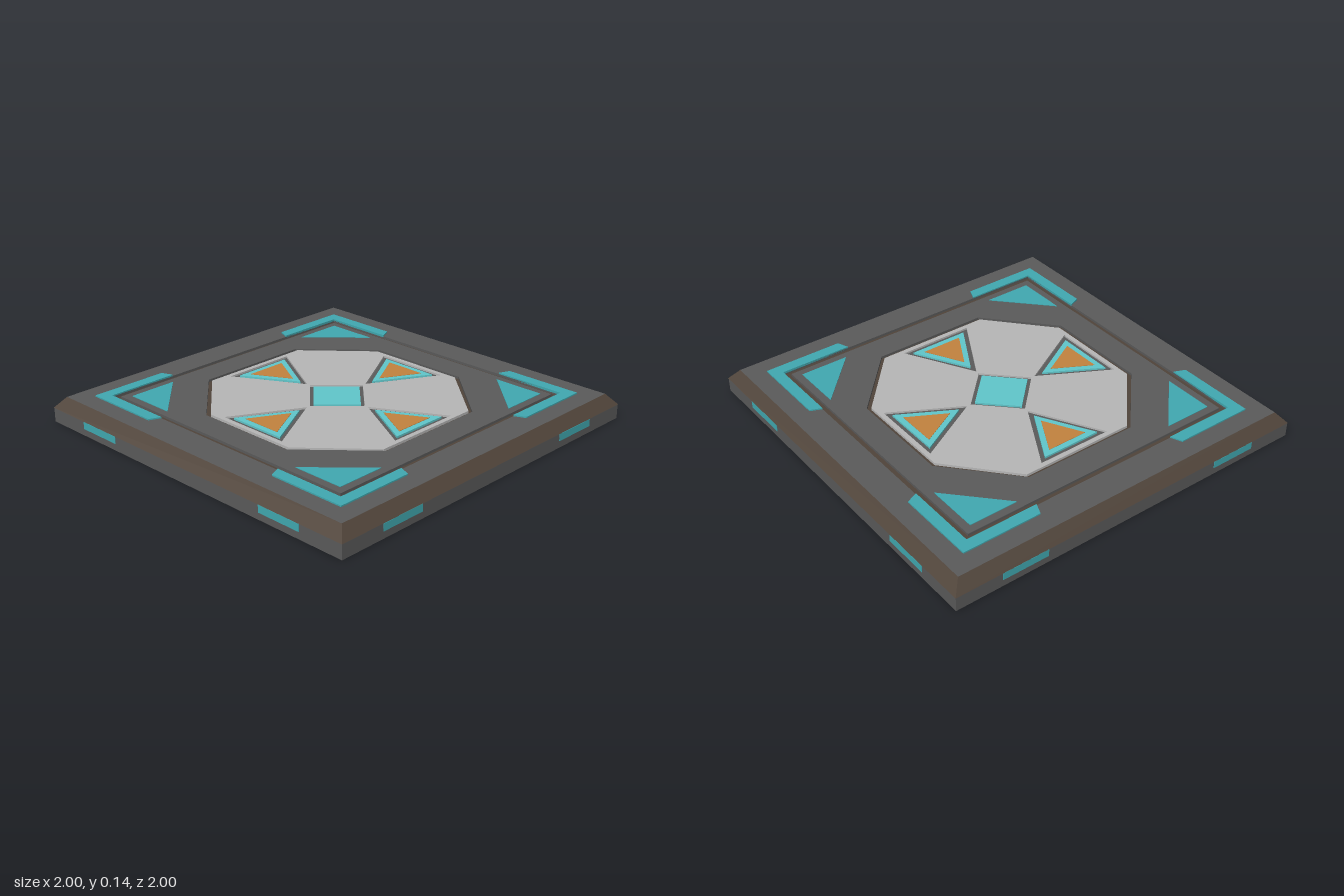
import * as THREE from 'three';

const material = (color) => new THREE.MeshStandardMaterial({ color, flatShading: true });
const GREY = material(0x5a5a5a), BROWN = material(0x50443a), PANEL = material(0xb6b6b6);
const TEAL = material(0x40a8b0), LIGHT_TEAL = material(0x60c6ca), ORANGE = material(0xc2823e);

const FLOOR = 0.12, TOP = 0.133;

const points = (list) => list.map(([x, y]) => new THREE.Vector2(x, y));
const square = (h) => [[-h, -h], [h, -h], [h, h], [-h, h]];
const diamond = (r) => [[r, 0], [0, r], [-r, 0], [0, -r]];
const octagon = (r, c, d) => [[r, d], [c, r], [-c, r], [-r, d], [-r, -d], [-c, -r], [c, -r], [r, -d]];
const arrow = (base, half, tip) => [[-half, base], [0, tip], [half, base]];
const turn = (list, k) => list.map(([x, y]) => {
  for (let i = 0; i < k; i++) [x, y] = [-y, x];
  return [x, y];
});

// Flat plate with the given outline, lying between two heights
function plate(name, outline, y0, y1, mat, holes = []) {
  const shape = new THREE.Shape(points(outline));
  for (const hole of holes) shape.holes.push(new THREE.Path(points(hole)));
  const geometry = new THREE.ExtrudeGeometry(shape, { depth: y1 - y0, bevelEnabled: false });
  geometry.rotateX(-Math.PI / 2).translate(0, y0, 0);
  const mesh = new THREE.Mesh(geometry, mat);
  mesh.name = name;
  return mesh;
}

export function createModel() {
  const model = new THREE.Group();
  model.name = 'floorTile';

  // Slab with a sloped rim; the core's top is the floor of the grooves
  model.add(plate('base', square(0.998), 0, 0.075, GREY));
  const rim = new THREE.CylinderGeometry(0.95 * Math.SQRT2, Math.SQRT2, TOP - 0.075, 4, 1, true, Math.PI / 4);
  const slope = new THREE.Mesh(rim, BROWN);
  slope.name = 'slopedRim';
  slope.position.y = (TOP + 0.075) / 2;
  model.add(slope, plate('grooveFloor', square(0.94), 0.07, FLOOR, BROWN));

  // Top plates, parted by a square and an octagonal groove
  model.add(plate('outerPlate', square(0.95), FLOOR, TOP, GREY, [square(0.79)]));
  model.add(plate('innerPlate', square(0.76), FLOOR, TOP, GREY, [octagon(0.615, 0.28, 0.31)]));

  // Octagonal panel with cut-outs over a dark floor
  const cutouts = [diamond(0.19)];
  for (let k = 0; k < 4; k++) cutouts.push(turn(arrow(0.57, 0.2, 0.21), k));
  model.add(plate('octagonPanel', octagon(0.595, 0.27, 0.305), FLOOR, TOP, PANEL, cutouts));
  model.add(plate('panelFloor', octagon(0.59, 0.265, 0.3), FLOOR - 0.01, FLOOR + 0.003, GREY));
  model.add(plate('centreDiamond', diamond(0.165), FLOOR, TOP, LIGHT_TEAL));

  const bracket = [[0.43, 0.85], [0.405, 0.79], [0.79, 0.79], [0.79, 0.405], [0.85, 0.43], [0.85, 0.85]];
  const cornerTriangle = [[0.72, 0.72], [0.445, 0.72], [0.72, 0.46]];

  for (let k = 0; k < 4; k++) {
    // Arrow inlays
    model.add(plate('arrowInlay', turn(arrow(0.545, 0.16, 0.26), k), FLOOR, TOP, LIGHT_TEAL));
    model.add(plate('arrowCore', turn(arrow(0.515, 0.11, 0.315), k), TOP - 0.005, TOP + 0.002, ORANGE));

    // Corner brackets and triangles, mirrored on alternate corners
    const corner = k % 2 ? cornerTriangle.map(([x, y]) => [y, x]) : cornerTriangle;
    model.add(plate('cornerBracket', turn(bracket, k), TOP - 0.005, 0.14, TEAL));
    model.add(plate('cornerTriangle', turn(corner, k), TOP - 0.005, TOP + 0.003, TEAL));

    // Side lights
    const side = new THREE.Group();
    side.name = 'sideLights';
    side.rotation.y = k * Math.PI / 2;
    for (const s of [-1, 1]) {
      const light = new THREE.Mesh(new THREE.BoxGeometry(0.25, 0.038, 0.02), TEAL);
      light.name = 'sideLight';
      light.position.set(s * 0.625, 0.055, 0.99);
      side.add(light);
    }
    model.add(side);
  }
  return model;
}
